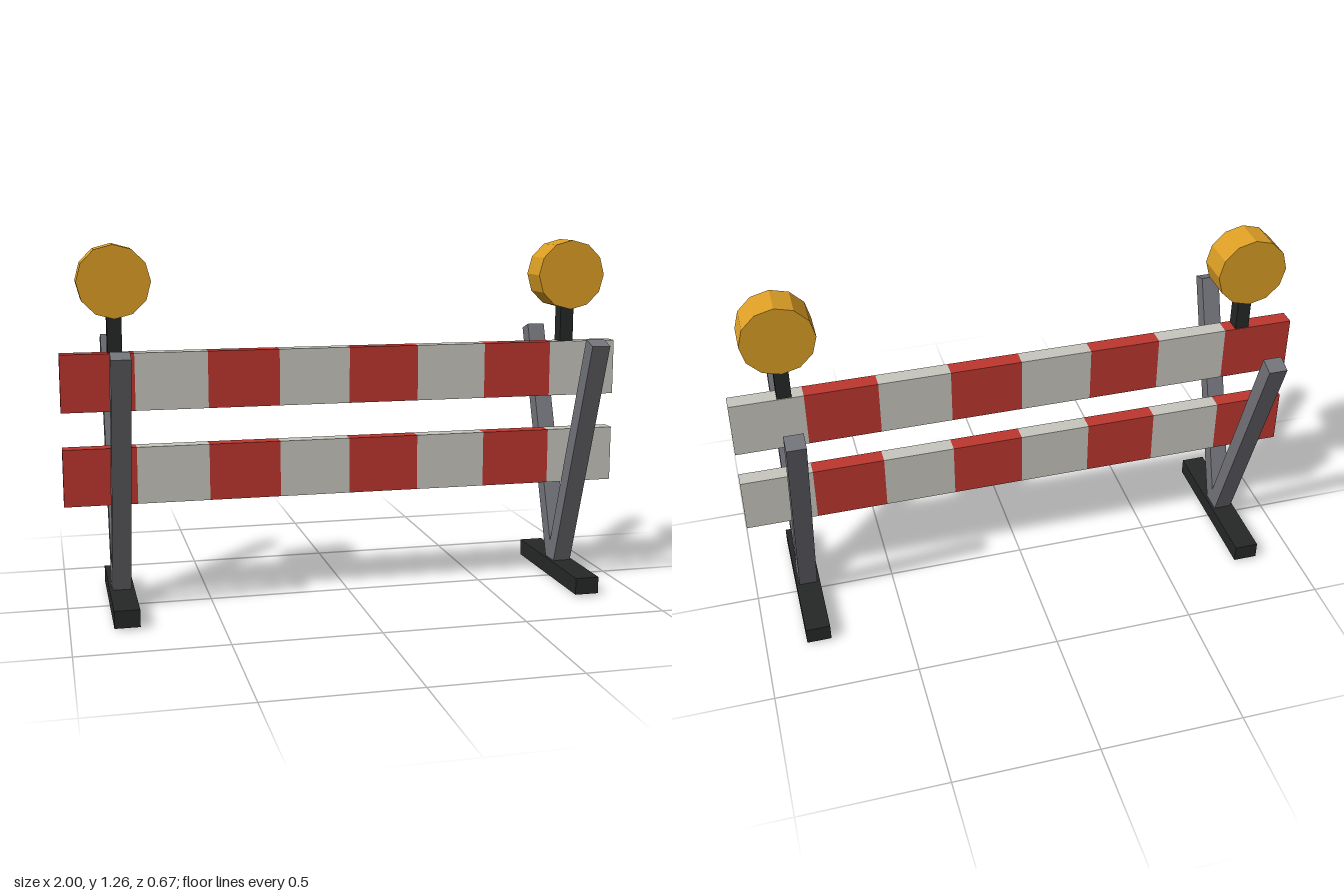
import * as THREE from 'three';

const mat = (name, color) => {
  const m = new THREE.MeshStandardMaterial({ color, flatShading: true });
  m.name = name;
  return m;
};

export function createModel() {
  const red = mat('red', 0xbe372f);
  const white = mat('offWhite', 0xc8c7bf);
  const grey = mat('steelGrey', 0x74757b);
  const black = mat('rubberBlack', 0x262828);
  const amber = mat('amber', 0xdd9f25);

  const model = new THREE.Group();
  model.name = 'roadBarrier';

  const add = (parent, name, geometry, material, x, y, z) => {
    const mesh = new THREE.Mesh(geometry, material);
    mesh.name = name;
    mesh.position.set(x, y, z);
    parent.add(mesh);
    return mesh;
  };

  // Two striped boards, eight blocks each
  const block = new THREE.BoxGeometry(0.25, 0.198, 0.057);
  [['lowerBoard', 0.466], ['upperBoard', 0.791]].forEach(([name, y]) => {
    const board = new THREE.Group();
    board.name = name;
    for (let i = 0; i < 8; i++) {
      add(board, i % 2 ? 'whiteStripe' : 'redStripe', block, i % 2 ? white : red, -0.875 + i * 0.25, y, 0);
    }
    model.add(board);
  });

  // Stand and warning lamp at each end
  const tilt = 0.34;
  const legLength = 0.96;
  const legGeometry = new THREE.BoxGeometry(0.065, legLength, 0.059);
  const footGeometry = new THREE.BoxGeometry(0.086, 0.06, 0.556);
  const postGeometry = new THREE.BoxGeometry(0.049, 0.15, 0.051);
  const lampGeometry = new THREE.CylinderGeometry(0.124, 0.124, 0.119, 12).rotateX(Math.PI / 2);

  for (const side of [-1, 1]) {
    const stand = new THREE.Group();
    stand.name = side < 0 ? 'rightStand' : 'leftStand';
    stand.position.x = side * 0.814;
    add(stand, 'foot', footGeometry, black, 0, 0.037, 0);

    // V-shaped pair of legs holding the boards
    for (const dir of [-1, 1]) {
      const leg = add(stand, dir > 0 ? 'frontLeg' : 'backLeg', legGeometry, grey,
        0, 0.01 + Math.cos(tilt) * legLength / 2, dir * (Math.sin(tilt) * legLength / 2 - 0.012));
      leg.rotation.x = dir * tilt;
    }

    add(stand, 'lampPost', postGeometry, black, 0, 0.96, 0);
    add(stand, 'lamp', lampGeometry, amber, 0, 1.133, 0);
    model.add(stand);
  }

  return model;
}
